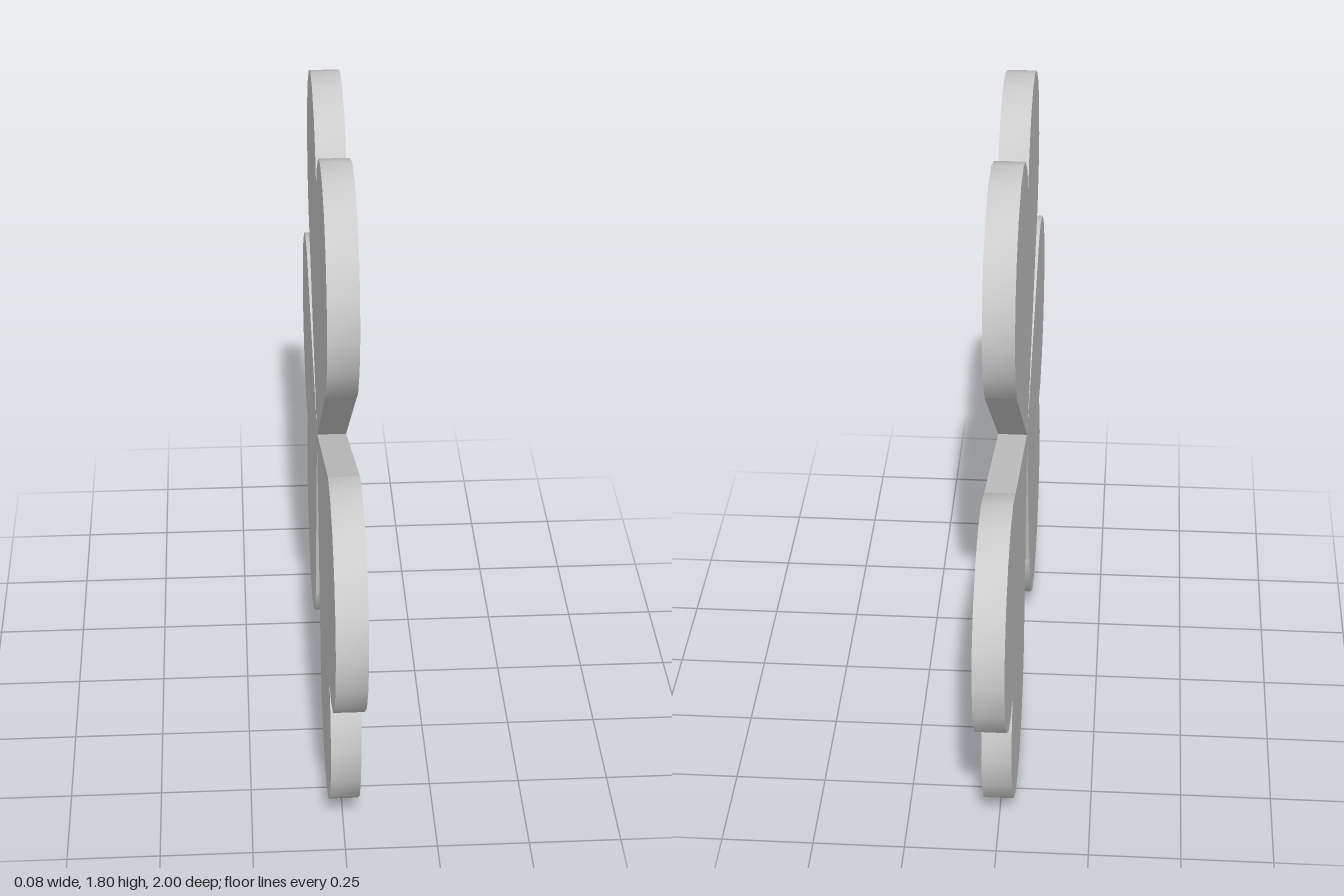
import * as THREE from 'three';
import { toCreasedNormals } from 'three/addons/utils/BufferGeometryUtils.js';

const THICK = 0.08;   // leaf thickness
const R = 0.305;      // lobe radius
const OFFSET = 0.275; // lobe centre from the leaf's axis
const REACH = 0.645;  // lobe centres from the hub
const NOTCH = 0.124;  // half height of the lobes' overlap

const lobePoint = (side, degrees) => {
  const a = THREE.MathUtils.degToRad(degrees);
  return new THREE.Vector2(side * (OFFSET + R * Math.cos(a)), REACH + R * Math.sin(a));
};

// Two merged 18-sided discs
function lobesGeometry() {
  const points = [new THREE.Vector2(0, REACH - NOTCH)];
  for (let d = -140; d <= 140; d += 20) points.push(lobePoint(1, d));
  points.push(new THREE.Vector2(0, REACH + NOTCH));
  for (let d = 140; d >= -140; d -= 20) points.push(lobePoint(-1, d));
  const geometry = new THREE.ExtrudeGeometry(new THREE.Shape(points), {
    depth: THICK, bevelEnabled: false,
  });
  return toCreasedNormals(geometry, 0.5);
}

// Upright wall from the hub to a point on a lobe
function wallGeometry(end) {
  const geometry = new THREE.PlaneGeometry(end.length(), THICK);
  geometry.rotateX(Math.PI / 2);
  geometry.translate(end.length() / 2, 0, THICK / 2);
  geometry.rotateZ(end.angle());
  return geometry;
}

export function createModel() {
  const model = new THREE.Group();
  model.name = 'threeLeafClover';
  const material = new THREE.MeshStandardMaterial({ color: 0xcccccc });
  const thin = new THREE.MeshStandardMaterial({ color: 0xcccccc, side: THREE.DoubleSide });

  // Where the wedge walls meet the lobes
  const ends = [lobePoint(1, -60), lobePoint(-1, -40)];
  const lobes = lobesGeometry();
  const walls = ends.map(wallGeometry);
  const floor = new THREE.ShapeGeometry(new THREE.Shape([
    new THREE.Vector2(0, 0), ends[0], new THREE.Vector2(0, REACH - NOTCH), ends[1],
  ]));
  floor.translate(0, 0, THICK);

  const add = (parent, name, geometry, mat) => {
    const mesh = new THREE.Mesh(geometry, mat);
    mesh.name = name;
    parent.add(mesh);
  };

  // Leaves drawn flat, each turned about the hub
  const clover = new THREE.Group();
  clover.name = 'leaves';
  const leaves = [
    ['topLeaf', 0.005, 0.852, 0],
    ['frontLeaf', -0.005, 0.855, -115],
    ['backLeaf', 0.002, 0.861, 120],
  ];
  for (const [name, x, y, turn] of leaves) {
    const leaf = new THREE.Group();
    leaf.name = name;
    leaf.position.set(x, y, 0);
    leaf.rotation.z = THREE.MathUtils.degToRad(turn);
    add(leaf, 'lobes', lobes, material);
    add(leaf, 'wedgeFloor', floor, thin);
    walls.forEach((wall) => add(leaf, 'wedgeWall', wall, thin));
    clover.add(leaf);
  }

  // Stand the flat clover in the side plane, open wedges facing +x
  clover.rotation.y = -Math.PI / 2;
  clover.position.x = THICK / 2;
  model.add(clover);
  return model;
}
